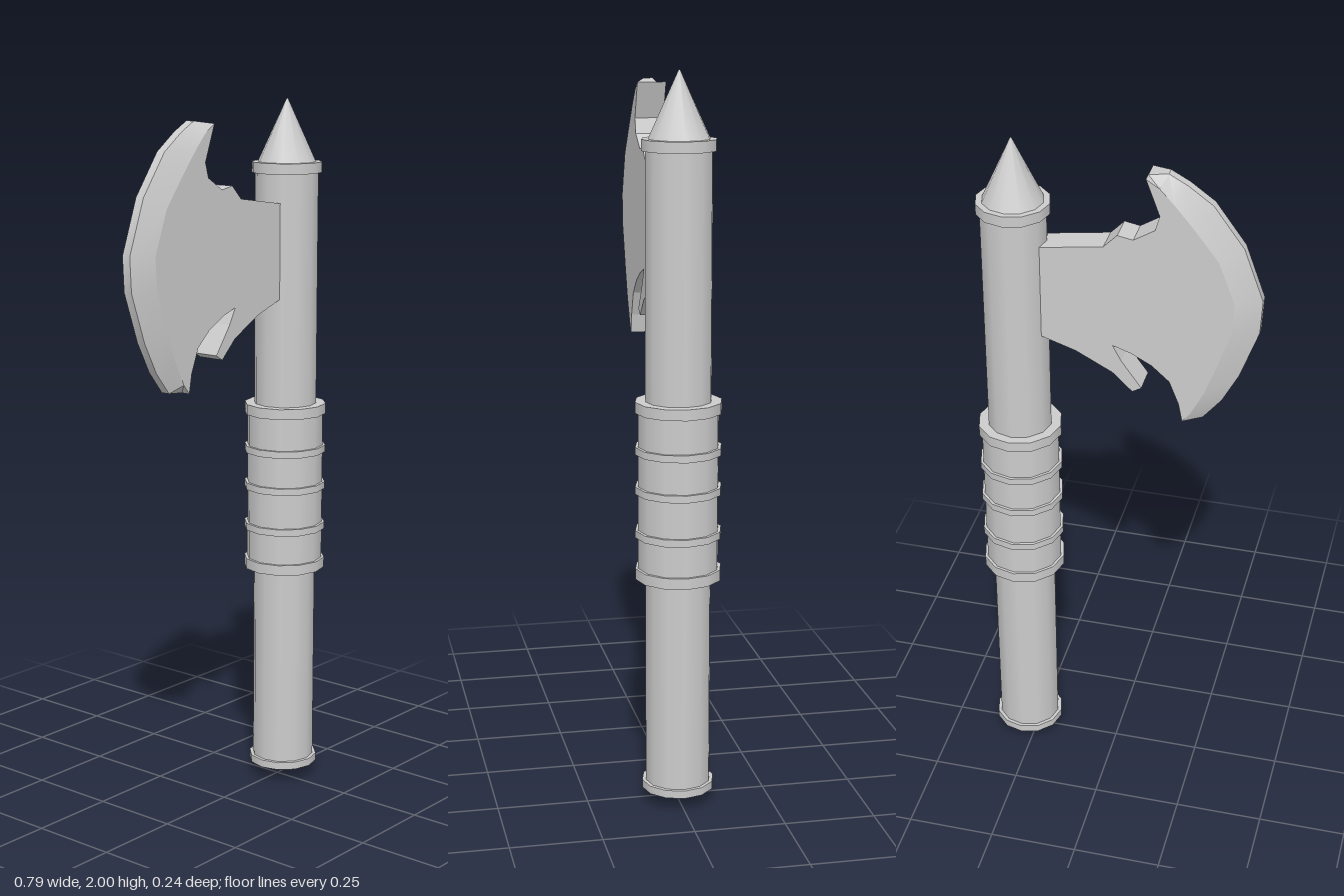
import * as THREE from 'three';
import { toCreasedNormals } from 'three/addons/utils/BufferGeometryUtils.js';

export function createModel() {
  const group = new THREE.Group();
  const grey = new THREE.MeshStandardMaterial({ color: 0xcccccc });
  grey.name = 'plain grey';
  const shaftX = 0.275, half = 0.04, edgeHalf = 0.013;

  const add = (name, geometry) => {
    const mesh = new THREE.Mesh(geometry, grey);
    mesh.name = name;
    group.add(mesh);
    return mesh;
  };

  // Twelve-sided round part between two heights
  const round = (name, y0, y1, rBottom, rTop) => {
    const mesh = add(name, new THREE.CylinderGeometry(rTop, rBottom, y1 - y0, 12));
    mesh.position.set(shaftX, (y0 + y1) / 2, 0);
  };

  // Handle, spike and pommel
  round('shaft', 0.045, 1.81, 0.09, 0.09);
  round('topCollar', 1.795, 1.825, 0.1, 0.1);
  round('topSpike', 1.82, 2.0, 0.085, 0.002);
  round('bottomCollar', 0.04, 0.062, 0.1, 0.1);
  round('pommel', 0, 0.04, 0.002, 0.097);

  // Grip with five raised rings
  round('grip', 0.66, 1.12, 0.11, 0.11);
  [[0.66, 0.03], [0.772, 0.02], [0.893, 0.02], [1.002, 0.02], [1.12, 0.03]].forEach(([y, h], i) =>
    round('gripRing' + (i + 1), y - h / 2, y + h / 2, 0.118, 0.118));

  // Cutting edge (outer) and the line where its bevel starts (inner), top to bottom
  const outer = [[-0.087, 1.947], [-0.14, 1.955], [-0.19, 1.928], [-0.257, 1.88], [-0.34, 1.767], [-0.394, 1.62],
    [-0.389, 1.524], [-0.34, 1.386], [-0.295, 1.3], [-0.245, 1.238], [-0.193, 1.233]];
  const inner = [[-0.087, 1.947], [-0.122, 1.925], [-0.16, 1.885], [-0.21, 1.825], [-0.28, 1.735], [-0.325, 1.615],
    [-0.32, 1.528], [-0.28, 1.41], [-0.25, 1.33], [-0.215, 1.26], [-0.193, 1.233]];

  // Blade body: bevel line, lower horn, spur, neck and upper notch
  const back = [[-0.183, 1.286], [-0.156, 1.354], [-0.108, 1.397], [-0.05, 1.428], [0, 1.445], [-0.024, 1.4],
    [-0.08, 1.322], [-0.055, 1.307], [0, 1.36], [0.1, 1.413], [0.195, 1.445], [0.23, 1.445],
    [0.23, 1.715], [0.195, 1.715], [0.024, 1.74], [-0.013, 1.778], [-0.055, 1.77], [-0.112, 1.805], [-0.124, 1.847]];
  const outline = new THREE.Shape([...inner, ...back].map(([x, y]) => new THREE.Vector2(x, y)));
  const body = new THREE.ExtrudeGeometry(outline, { depth: half * 2, bevelEnabled: false });
  body.translate(0, 0, -half);
  add('bladeBody', body);

  // Bevelled edge: four-point cross-sections joined along the curve
  const positions = [], index = [];
  outer.forEach(([ox, oy], i) => {
    const [ix, iy] = inner[i];
    positions.push(ix, iy, half, ox, oy, edgeHalf, ox, oy, -edgeHalf, ix, iy, -half);
    if (i === outer.length - 1) return;
    for (let k = 0; k < 3; k++) {
      const a = i * 4 + k, b = a + 1, c = a + 5, d = a + 4;
      index.push(a, b, c, a, c, d);
    }
  });
  const edge = new THREE.BufferGeometry();
  edge.setAttribute('position', new THREE.Float32BufferAttribute(positions, 3));
  edge.setIndex(index);
  add('bladeEdge', toCreasedNormals(edge, 0.5));

  return group;
}
